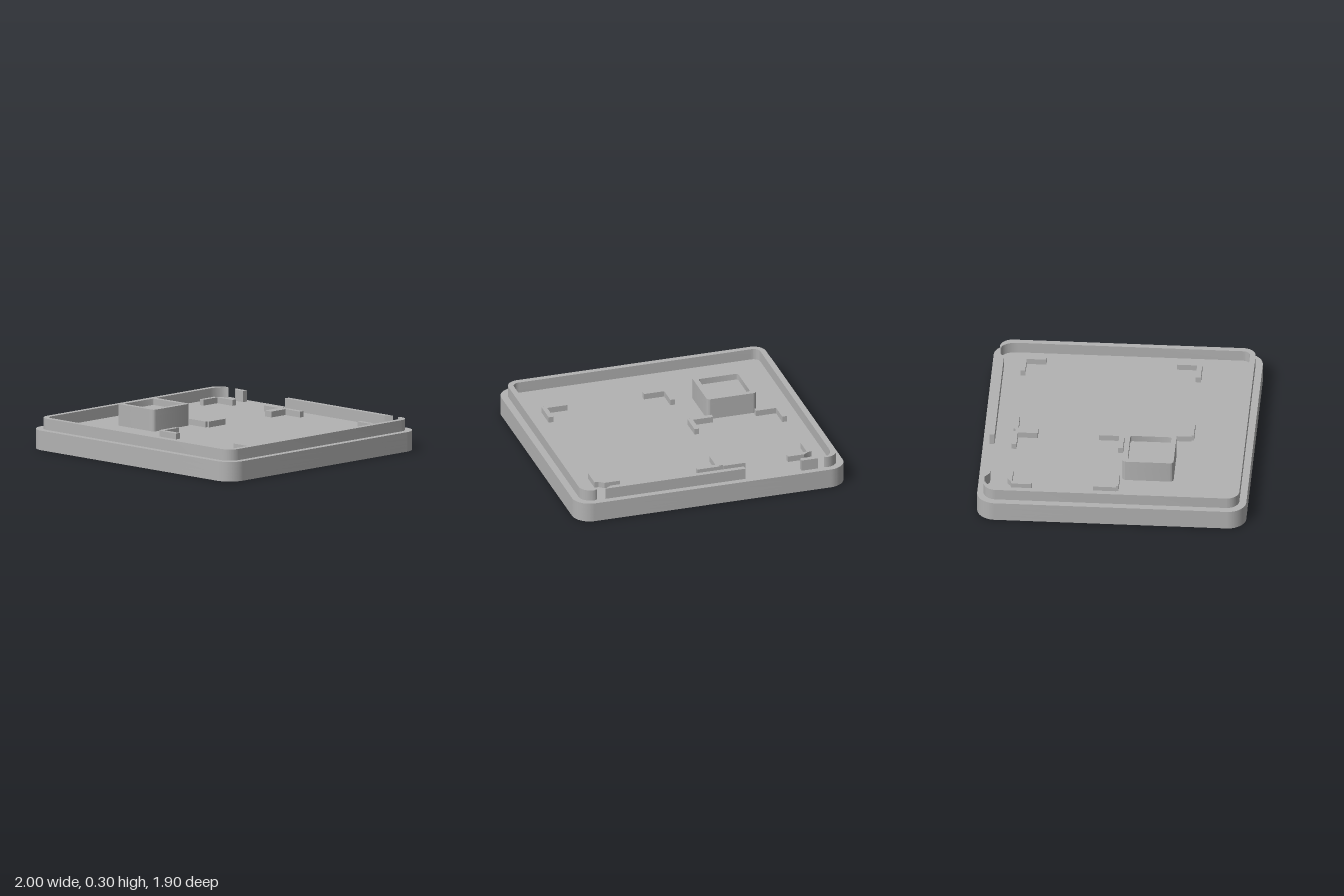
import * as THREE from 'three';
import { toCreasedNormals } from 'three/addons/utils/BufferGeometryUtils.js';

export function createModel() {
  const model = new THREE.Group();
  model.name = 'enclosureLid';
  const grey = new THREE.MeshStandardMaterial({ color: 0xb2b2b2 });
  grey.name = 'plain grey';

  // Shapes are drawn in plan with y = -z, then raised from y0 to y1
  const slab = (name, shape, y0, y1) => {
    const g = new THREE.ExtrudeGeometry(shape, { depth: y1 - y0, bevelEnabled: false, curveSegments: 20 });
    g.rotateX(-Math.PI / 2).translate(0, y0, 0);
    const mesh = new THREE.Mesh(toCreasedNormals(g, 0.6), grey);
    mesh.name = name;
    model.add(mesh);
  };
  const polygon = (pts) => new THREE.Shape(pts.map(([x, z]) => new THREE.Vector2(x, -z)));
  const roundRect = (x0, x1, z0, z1, r) => {
    const s = new THREE.Shape();
    const P = Math.PI;
    s.absarc(x1 - r, -z0 - r, r, 0, P / 2);
    s.absarc(x0 + r, -z0 - r, r, P / 2, P);
    s.absarc(x0 + r, -z1 + r, r, P, 1.5 * P);
    s.absarc(x1 - r, -z1 + r, r, 1.5 * P, 2 * P);
    s.closePath();
    return s;
  };

  // Base plate in layers, so the underside recesses get their steps
  const corners = [[0.827, 0.74, 0.132], [-0.827, 0.74, 0.132], [0.827, -0.8, 0.093], [-0.827, -0.8, 0.093]];
  const sides = [[0.79, 0], [-0.79, 0], [0, 0.74], [0, -0.74]];
  const wide = sides.map(([x, z]) => [x, z, 0.15]);
  const narrow = sides.map(([x, z]) => [x, z, 0.107]);
  const layers = [
    ['baseBottom', 0, 0.04, [...corners, ...wide]],
    ['baseStep', 0.04, 0.06, [...corners, ...narrow]],
    ['baseMiddle', 0.06, 0.1, narrow],
    ['baseFloor', 0.1, 0.14, []],
  ];
  for (const [name, y0, y1, holes] of layers) {
    const s = roundRect(-1, 1, -0.95, 0.95, 0.13);
    for (const [x, z, r] of holes) s.holes.push(new THREE.Path().absarc(x, -z, r, 0, Math.PI * 2, true));
    slab(name, s, y0, y1);
  }

  // Raised rim, open along the back
  const P = Math.PI;
  const rim = new THREE.Shape();
  rim.moveTo(-0.86, 0.905);
  rim.absarc(-0.86, 0.815, 0.09, P / 2, P);
  rim.absarc(-0.86, -0.81, 0.09, P, 1.5 * P);
  rim.absarc(0.86, -0.81, 0.09, 1.5 * P, 2 * P);
  rim.absarc(0.86, 0.815, 0.09, 0, P / 2);
  rim.absellipse(0.84, 0.78, 0.07, 0.115, P / 2, 0, true);
  rim.absarc(0.86, -0.81, 0.05, 0, -P / 2, true);
  rim.absarc(-0.86, -0.81, 0.05, -P / 2, -P, true);
  rim.absellipse(-0.84, 0.78, 0.07, 0.115, P, P / 2, true);
  rim.closePath();
  slab('rim', rim, 0.14, 0.22);

  // Separate back wall pieces with angled ends
  slab('backWall', polygon([[-0.255, -0.905], [-0.255, -0.868], [0.73, -0.868], [0.78, -0.905]]), 0.14, 0.22);
  slab('backTab', polygon([[-0.79, -0.905], [-0.74, -0.868], [-0.67, -0.868], [-0.67, -0.905]]), 0.14, 0.22);

  // Square post with a shallow pocket
  slab('postBody', roundRect(-0.645, -0.28, 0.06, 0.42, 0.025), 0.14, 0.25);
  const lip = roundRect(-0.645, -0.28, 0.06, 0.42, 0.025);
  lip.holes.push(roundRect(-0.608, -0.317, 0.095, 0.385, 0.015));
  slab('postLip', lip, 0.25, 0.295);

  // Low locating brackets on the floor
  const brackets = {
    bracketBackRight: [[-0.805, -0.712], [-0.775, -0.72], [-0.74, -0.745], [-0.62, -0.745],
      [-0.62, -0.71], [-0.77, -0.71], [-0.77, -0.57], [-0.805, -0.57]],
    bracketBackLeft: [[0.8, -0.715], [0.77, -0.715], [0.735, -0.745], [0.62, -0.745],
      [0.62, -0.71], [0.768, -0.71], [0.768, -0.57], [0.8, -0.57]],
    bracketTee: [[-0.305, -0.745], [-0.145, -0.745], [-0.145, -0.73], [-0.115, -0.73], [-0.115, -0.745],
      [0.05, -0.745], [0.05, -0.71], [-0.095, -0.71], [-0.095, -0.57], [-0.16, -0.57], [-0.16, -0.71], [-0.305, -0.71]],
  };
  for (const [name, pts] of Object.entries(brackets)) slab(name, polygon(pts), 0.14, 0.182);

  // Front L brackets: outer corner x and z, and the direction of the long foot
  for (const [name, x, z, d] of [
    ['bracketMiddleRight', -0.805, 0.042, 1], ['bracketMiddle', -0.123, 0.042, -1],
    ['bracketFrontRight', -0.133, 0.53, 1], ['bracketFrontLeft', 0.8, 0.53, -1]]) {
    const pts = [[0, -0.18], [0.034, -0.18], [0.034, -0.037], [0.183, -0.037],
      [0.183, 0], [0.018, 0], [0.018, -0.018], [0, -0.018]];
    slab(name, polygon(pts.map(([px, pz]) => [x + d * px, z + pz])), 0.14, 0.182);
  }
  return model;
}
